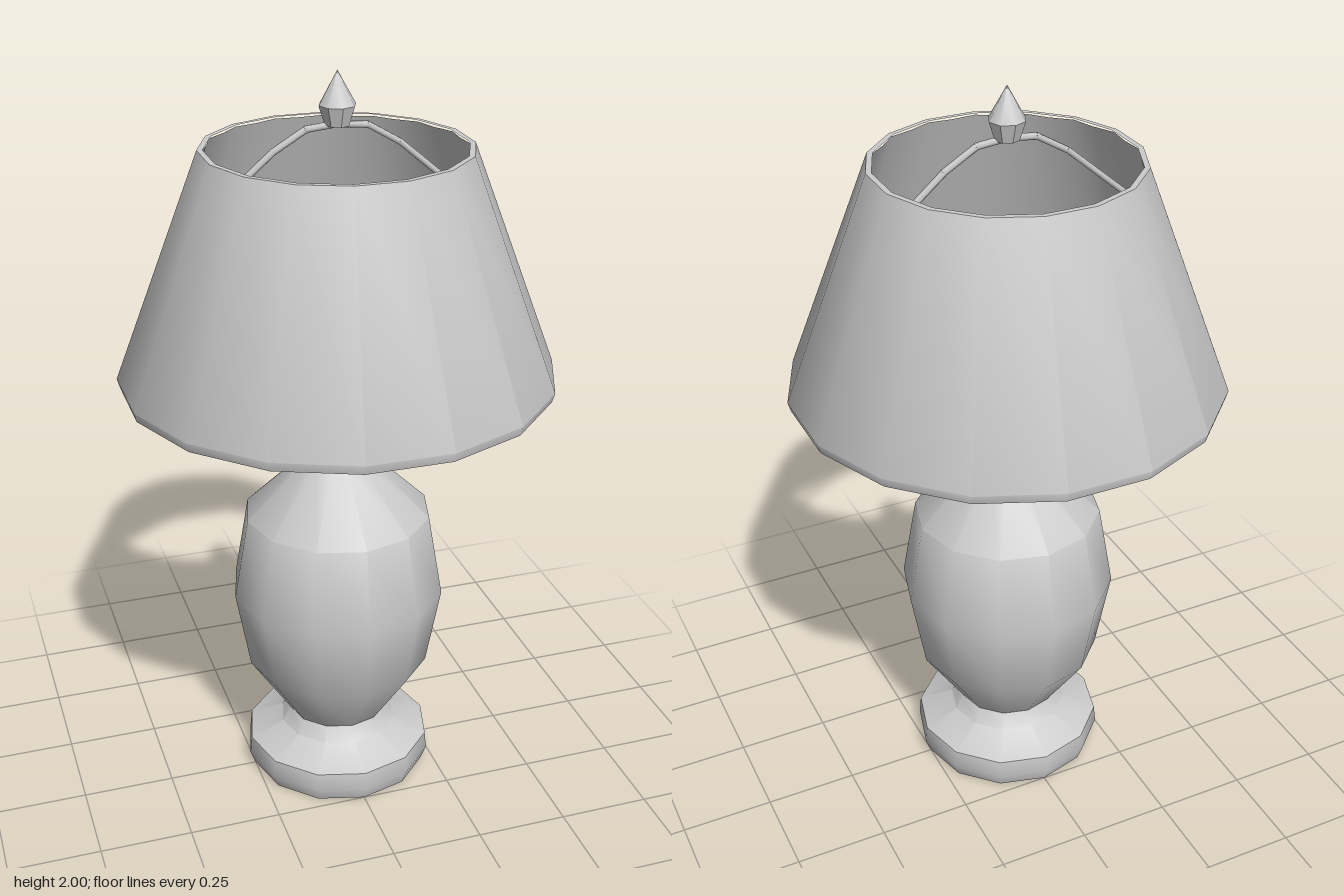
import * as THREE from 'three';
import { toCreasedNormals } from 'three/addons/utils/BufferGeometryUtils.js';

const grey = new THREE.MeshStandardMaterial({ color: 0xcccccc });

// Turned part from [radius, height] pairs listed bottom to top on the outside
function turned(name, profile, sides, phi = 0) {
  const points = profile.map(([r, y]) => new THREE.Vector2(r, y));
  const geometry = toCreasedNormals(new THREE.LatheGeometry(points, sides, phi), 0.7);
  const mesh = new THREE.Mesh(geometry, grey);
  mesh.name = name;
  return mesh;
}

// Straight wire between two points
function wire(a, b, radius) {
  const dir = new THREE.Vector3().subVectors(b, a);
  const mesh = new THREE.Mesh(new THREE.CylinderGeometry(radius, radius, dir.length() + radius, 6), grey);
  mesh.position.addVectors(a, b).multiplyScalar(0.5);
  mesh.quaternion.setFromUnitVectors(new THREE.Vector3(0, 1, 0), dir.normalize());
  mesh.name = 'harpWire';
  return mesh;
}

export function createModel() {
  const lamp = new THREE.Group();
  lamp.name = 'tableLamp';

  // Foot, vase-shaped body and collar
  lamp.add(
    turned('base', [[0, 0], [0.25, 0], [0.265, 0.04], [0.26, 0.09], [0.165, 0.13], [0.14, 0.175], [0, 0.175]], 12),
    turned('body', [[0.14, 0.17], [0.255, 0.345], [0.295, 0.57], [0.255, 0.8], [0.085, 0.965], [0, 0.965]], 12),
    turned('collar', [[0.083, 0.96], [0.083, 1.02], [0.04, 1.05], [0, 1.05]], 12),
  );

  // Stem, socket and bulb
  lamp.add(
    turned('stem', [[0.033, 1.04], [0.033, 1.19]], 12),
    turned('socket', [[0, 1.175], [0.055, 1.175], [0.055, 1.23], [0.045, 1.24], [0.045, 1.3], [0, 1.3]], 12),
    turned('bulb', [[0.035, 1.29], [0.056, 1.36], [0.05, 1.43], [0.025, 1.5], [0, 1.53]], 10),
  );

  // Harp that carries the shade, mirrored left and right
  const harp = new THREE.Group();
  harp.name = 'harp';
  const path = [[0.04, 1.2], [0.33, 1.36], [0.33, 1.67], [0.165, 1.81], [0.08, 1.86], [0, 1.868]];
  for (const side of [-1, 1]) {
    const points = path.map(([x, y]) => new THREE.Vector3(side * x, y, 0));
    for (let i = 1; i < points.length; i++) harp.add(wire(points[i - 1], points[i], 0.009));
  }
  lamp.add(harp);

  // Finial
  lamp.add(turned('finial', [[0, 1.865], [0.032, 1.865], [0.048, 1.915], [0, 2]], 8));

  // Sixteen-sided shade with a narrow lower hem and turned-in rims
  lamp.add(turned('shade', [[0.548, 1.19], [0.569, 1.19], [0.576, 1.215], [0.347, 1.812], [0.332, 1.812]], 16, Math.PI / 16));

  // Lining, drawn in between the ribs
  const lining = new THREE.LatheGeometry(
    [new THREE.Vector2(0.338, 1.806), new THREE.Vector2(0.558, 1.195)], 32, Math.PI / 16);
  const pos = lining.attributes.position;
  for (let i = 0; i < pos.count; i++) {
    const k = Math.floor(i / 2) % 2 ? 0.966 : 1;
    pos.setXYZ(i, pos.getX(i) * k, pos.getY(i), pos.getZ(i) * k);
  }
  const liningMesh = new THREE.Mesh(lining, grey);
  liningMesh.name = 'shadeLining';
  lamp.add(liningMesh);

  return lamp;
}
